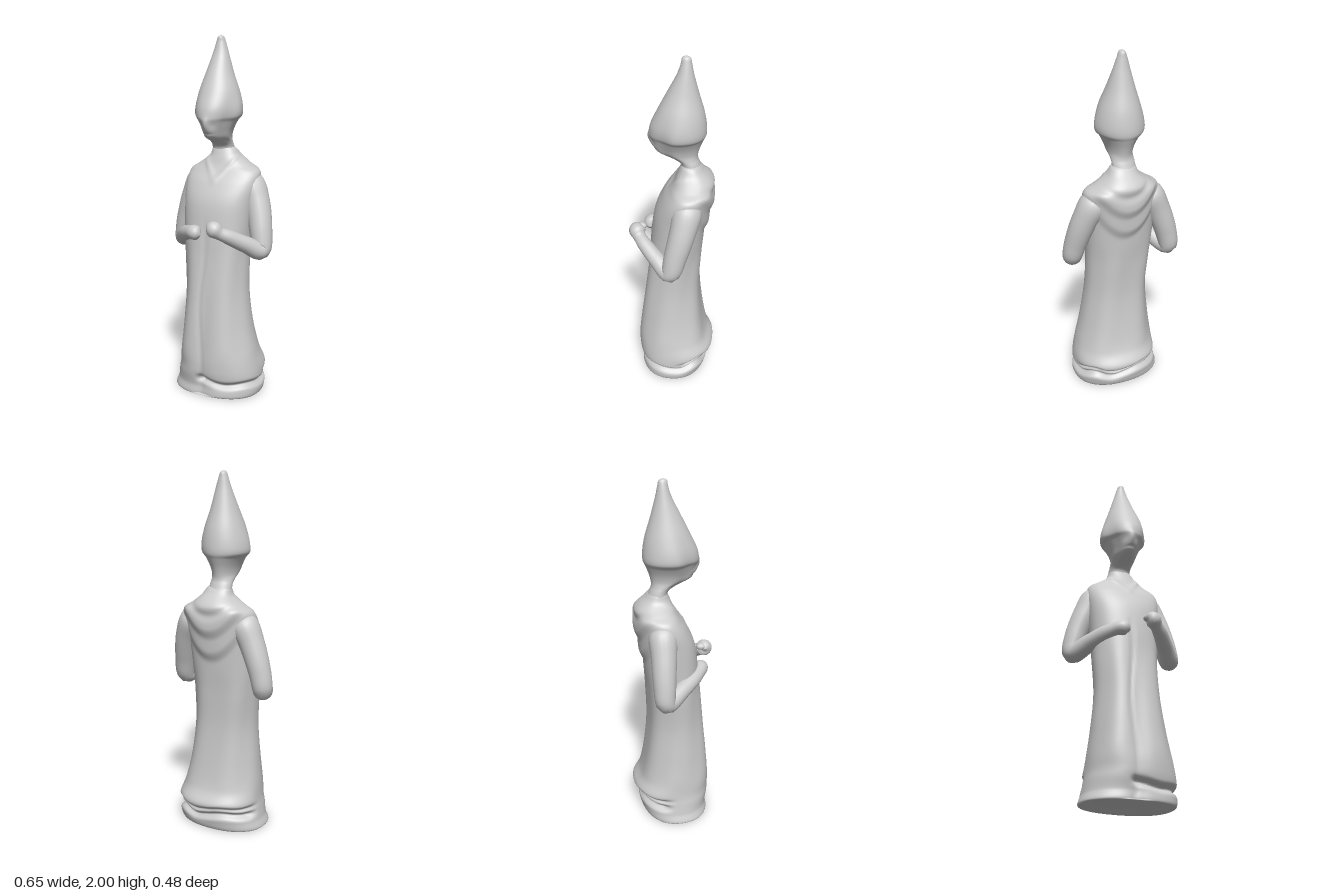
import * as THREE from 'three';

const material = new THREE.MeshStandardMaterial({ color: 0xcccccc, side: THREE.DoubleSide });
const bell = (v, centre, width) => Math.exp(-(((v - centre) / width) ** 2));
const step = THREE.MathUtils.smoothstep;

// Smooth skin over closed rings, given a point function of (row, column)
function skin(name, rows, cols, point) {
  const positions = [], index = [];
  for (let i = 0; i <= rows; i++) {
    for (let j = 0; j < cols; j++) {
      positions.push(...point(i / rows, (j / cols) * Math.PI * 2).toArray());
      if (i === rows) continue;
      const a = i * cols + j, b = i * cols + ((j + 1) % cols);
      index.push(a, a + cols, b, b, a + cols, b + cols);
    }
  }
  const geometry = new THREE.BufferGeometry();
  geometry.setAttribute('position', new THREE.Float32BufferAttribute(positions, 3));
  geometry.setIndex(index);
  geometry.computeVertexNormals();
  const mesh = new THREE.Mesh(geometry, material);
  mesh.name = name;
  return mesh;
}

// Upright form from cross-sections [y, xMin, xMax, zMin, zMax]; warp moves each point
function upright(name, sections, rows, cols, power, warp) {
  const spline = (f) => new THREE.CatmullRomCurve3(sections.map(f), false, 'catmullrom', 0.5);
  const xs = spline((s) => new THREE.Vector3(s[0], s[1], s[2]));
  const zs = spline((s) => new THREE.Vector3(s[3], s[4], 0));
  const round = (v) => Math.sign(v) * Math.abs(v) ** (2 / power);
  return skin(name, rows, cols, (t, a) => {
    const p = xs.getPoint(t), q = zs.getPoint(t);
    const c = Math.cos(a), s = Math.sin(a);
    const v = new THREE.Vector3(
      (p.y + p.z) / 2 + ((p.z - p.y) / 2) * round(c), p.x,
      (q.x + q.y) / 2 + ((q.y - q.x) / 2) * round(s));
    warp(v, c, s, t);
    return v;
  });
}

// Limb along a path of [x, y, z, radius]
function limb(name, path, rows = 60, cols = 20) {
  const curve = new THREE.CatmullRomCurve3(path.map((p) => new THREE.Vector3(p[0], p[1], p[2])), false, 'catmullrom', 0.5);
  const radii = new THREE.CatmullRomCurve3(path.map((p, i) => new THREE.Vector3(i, p[3], 0)), false, 'catmullrom', 0.5);
  const at = Array.from({ length: rows + 1 }, (_, i) => curve.getPoint(i / rows));
  let last = new THREE.Vector3(0, 0, 1);
  const frames = at.map((p, i) => {
    const t = curve.getTangent(i / rows);
    last = last.clone().addScaledVector(t, -last.dot(t)).normalize();
    return [last, t.cross(last)];
  });
  return skin(name, rows, cols, (t, a) => {
    const i = Math.round(t * rows);
    const r = Math.max(0.001, radii.getPoint(t).y);
    return at[i].clone()
      .addScaledVector(frames[i][0], Math.cos(a) * r)
      .addScaledVector(frames[i][1], -Math.sin(a) * r);
  });
}

export function createModel() {
  const model = new THREE.Group();
  model.name = 'robedFigure';

  // Long robe with a slightly hollow underside, trailing hem and a hood lying on the back
  model.add(upright('robe', [
    [0.04, 0.009, 0.011, -0.011, -0.009],
    [0.03, -0.14, 0.16, -0.11, 0.11],
    [0.005, -0.24, 0.255, -0.18, 0.185],
    [0.06, -0.23, 0.275, -0.205, 0.188],
    [0.12, -0.22, 0.27, -0.215, 0.2],
    [0.17, -0.212, 0.265, -0.235, 0.205],
    [0.25, -0.204, 0.245, -0.195, 0.203],
    [0.4, -0.188, 0.212, -0.167, 0.188],
    [0.6, -0.175, 0.185, -0.149, 0.165],
    [0.8, -0.187, 0.18, -0.154, 0.143],
    [0.95, -0.197, 0.187, -0.165, 0.13],
    [1.1, -0.205, 0.2, -0.175, 0.108],
    [1.2, -0.21, 0.216, -0.178, 0.065],
    [1.265, -0.197, 0.212, -0.18, 0.02],
    [1.3, -0.15, 0.158, -0.175, 0],
    [1.345, -0.088, 0.098, -0.166, -0.018],
    [1.385, -0.07, 0.068, -0.138, -0.035],
    [1.4, -0.06, 0.045, -0.115, -0.045],
  ], 200, 112, 2.3, (v, c, s, t) => {
    if (t < 0.13) return;
    const { x, y } = v;
    const front = step(s, 0, 0.5), back = step(-s, 0, 0.5);
    let out = 0;
    // Overlapping coat hem, hanging to the floor on the front right
    const coat = 1 - step(s, -0.5, -0.1) * (1 - step(x, -0.05, -0.02));
    const wave = 0.014 * Math.sin(c * 5 + s * 3);
    out -= coat * 0.03 * bell(y, 0.095 + wave, 0.018);
    out -= back * 0.02 * bell(y, 0.135 + wave, 0.014);
    // Hanging folds
    const skirt = step(y, 0.14, 0.3) * (1 - step(y, 0.75, 1));
    out += skirt * 0.004 * Math.sin(Math.atan2(s, c) * 6 + y * 3);
    // Front opening, with the cloth sinking towards it
    const seam = -0.025 + 0.012 * Math.sin(y * 9);
    const low = 1 - step(y, 0.9, 1.05);
    out -= front * low * (0.007 * bell(x, seam, 0.01) + 0.014 * bell(x, -0.01, 0.05) * (1 - y));
    // V-shaped collar
    out += front * 0.006 * bell(y, 1.22 + Math.abs(x) * 1.3, 0.022) * (1 - step(Math.abs(x), 0.07, 0.12));
    // Two U-shaped hood folds, pushed straight back
    const drop = (x - 0.01) ** 2;
    const hoodTop = back * (1 - step(y, 1.29, 1.37));
    let hood = 0.02 * step(y, 0.98 + 5 * drop, 1.05 + 5 * drop);
    hood += 0.02 * step(y, 1.11 + 4.5 * drop, 1.18 + 4.5 * drop);
    hood -= 0.012 * bell(y, 1.25 + 4 * drop, 0.03);
    v.x += c * out;
    v.z += s * (out + hood * hoodTop);
  }));

  // Neck, face and tall pointed hat in one smooth form
  model.add(upright('headAndHat', [
    [1.3, -0.07, 0.06, -0.15, -0.04],
    [1.35, -0.074, 0.06, -0.15, -0.035],
    [1.4, -0.07, 0.056, -0.132, -0.03],
    [1.43, -0.07, 0.056, -0.122, 0.015],
    [1.46, -0.075, 0.062, -0.124, 0.092],
    [1.5, -0.088, 0.075, -0.135, 0.122],
    [1.545, -0.113, 0.098, -0.153, 0.136],
    [1.575, -0.14, 0.122, -0.165, 0.136],
    [1.625, -0.138, 0.124, -0.164, 0.126],
    [1.7, -0.117, 0.105, -0.151, 0.092],
    [1.8, -0.084, 0.068, -0.122, 0.042],
    [1.9, -0.053, 0.037, -0.096, -0.008],
    [1.96, -0.036, 0.018, -0.084, -0.028],
    [1.99, -0.025, 0.007, -0.077, -0.034],
    [2, -0.01, -0.008, -0.056, -0.054],
  ], 110, 64, 2, (v, c, s) => {
    const face = step(s, 0, 0.6);
    const below = step(v.y, 1.4, 1.46) * (1 - step(v.y, 1.54, 1.75));
    const across = v.x + 0.01;
    // Narrow the face, raise the nose and sink the eyes a little
    v.z += face * 0.008 * bell(across, 0, 0.02) * bell(v.y, 1.535, 0.035);
    v.z -= face * 0.007 * bell(Math.abs(across), 0.045, 0.022) * bell(v.y, 1.53, 0.025);
    v.z -= face * 0.005 * bell(v.y, 1.482, 0.008) * bell(across, 0, 0.04);
    v.x -= across * 0.2 * face * below;
  }));

  // Sleeved arms bent at the elbow, hands held before the chest
  model.add(limb('leftArm', [
    [0.11, 1.245, -0.09, 0.002], [0.155, 1.205, -0.085, 0.075], [0.21, 1.1, -0.065, 0.072],
    [0.249, 0.96, -0.03, 0.064], [0.264, 0.85, 0.002, 0.054], [0.21, 0.89, 0.075, 0.046],
    [0.145, 0.94, 0.15, 0.04], [0.105, 0.965, 0.185, 0.036], [0.08, 0.985, 0.2, 0.046],
    [0.055, 0.995, 0.2, 0.034], [0.035, 0.995, 0.195, 0.001],
  ]));
  model.add(limb('rightArm', [
    [-0.11, 1.245, -0.1, 0.002], [-0.15, 1.205, -0.095, 0.073], [-0.205, 1.1, -0.1, 0.07],
    [-0.255, 0.96, -0.108, 0.062], [-0.272, 0.85, -0.1, 0.054], [-0.21, 0.885, -0.005, 0.048],
    [-0.155, 0.915, 0.07, 0.044], [-0.105, 0.935, 0.122, 0.038], [-0.075, 0.94, 0.138, 0.042],
    [-0.05, 0.935, 0.145, 0.034], [-0.03, 0.93, 0.145, 0.001],
  ]));

  // Left thumb
  const thumb = new THREE.Mesh(new THREE.SphereGeometry(0.022, 16, 12), material);
  thumb.name = 'leftThumb';
  thumb.scale.set(1, 0.9, 1.3);
  thumb.position.set(0.058, 1.005, 0.178);
  model.add(thumb);

  return model;
}
